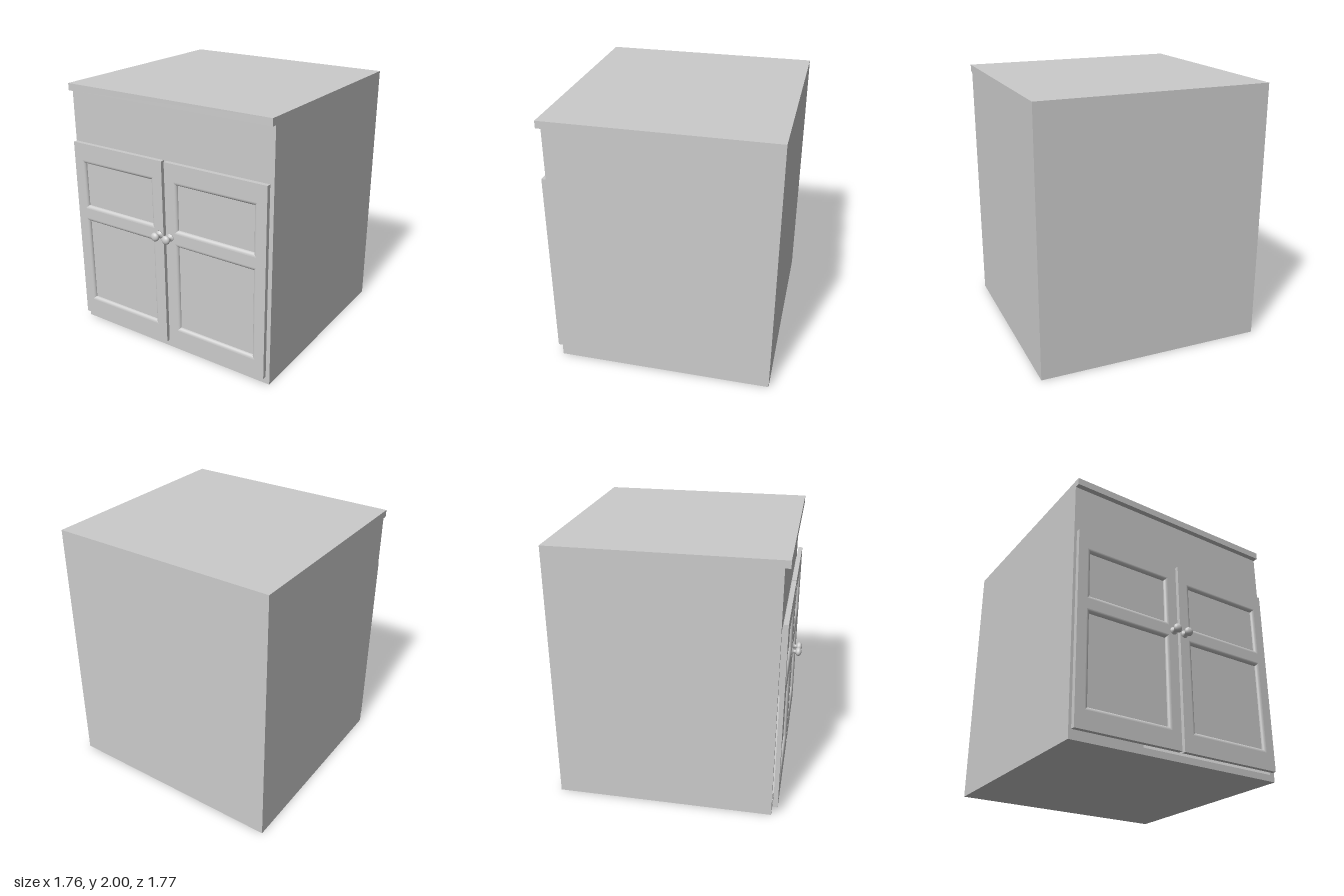
import * as THREE from 'three';
import { mergeGeometries } from 'three/addons/utils/BufferGeometryUtils.js';

const material = new THREE.MeshStandardMaterial({ color: 0xcccccc });

function add(parent, name, geometry, x = 0, y = 0, z = 0) {
  const mesh = new THREE.Mesh(geometry, material);
  mesh.name = name;
  mesh.position.set(x, y, z);
  parent.add(mesh);
  return mesh;
}

// Corners of a rectangle, counter-clockwise, shrunk by an inset
const corners = ({ l, r, b, t }, inset = 0) => [
  [l + inset, b + inset], [r - inset, b + inset],
  [r - inset, t - inset], [l + inset, t - inset],
];

// Rectangular plate with rectangular openings
function frame(outer, holes, depth) {
  const points = (rect) => corners(rect).map(([x, y]) => new THREE.Vector2(x, y));
  const shape = new THREE.Shape(points(outer));
  for (const hole of holes) shape.holes.push(new THREE.Path(points(hole).reverse()));
  return new THREE.ExtrudeGeometry(shape, { depth, bevelEnabled: false });
}

// Rounded moulding running round an opening, mitred at the corners
function moulding(rect, width, depth, steps = 6) {
  const rows = [];
  for (let k = 0; k <= steps; k++) {
    const a = (k / steps) * Math.PI / 2;
    rows.push({ pts: corners(rect, width * Math.sin(a)), z: -depth * (1 - Math.cos(a)) });
  }
  const sides = [0, 1, 2, 3].map((i) => {
    const position = [], index = [];
    rows.forEach(({ pts, z }, k) => {
      position.push(...pts[i], z, ...pts[(i + 1) % 4], z);
      const n = 2 * k;
      if (k < steps) index.push(n, n + 1, n + 3, n, n + 3, n + 2);
    });
    const side = new THREE.BufferGeometry();
    side.setAttribute('position', new THREE.Float32BufferAttribute(position, 3));
    side.setIndex(index);
    side.computeVertexNormals();
    return side;
  });
  return mergeGeometries(sides);
}

function knobGeometry() {
  const profile = [[0, 0], [0.03, 0], [0.029, 0.004], [0.02, 0.009], [0.014, 0.016], [0.013, 0.026]];
  // Flattened ball
  for (let i = 0; i <= 12; i++) {
    const a = -1.15 + (i / 12) * (Math.PI / 2 + 1.15);
    profile.push([0.034 * Math.cos(a), 0.052 + 0.024 * Math.sin(a)]);
  }
  const points = profile.map(([r, h]) => new THREE.Vector2(Math.max(r, 0), h));
  return new THREE.LatheGeometry(points, 24).rotateX(Math.PI / 2);
}

// side is -1 for the door at -x and +1 for the door at +x
function createDoor(side) {
  const door = new THREE.Group();
  const span = (near, far, b, t) =>
    side > 0 ? { l: near, r: far, b, t } : { l: -far, r: -near, b, t };
  const front = 0.81, thickness = 0.034, width = 0.026, depth = 0.022;
  const openings = [span(0.09, 0.785, 0.2, 0.935), span(0.09, 0.785, 1.015, 1.415)];

  add(door, 'doorFrame', frame(span(0.012, 0.86, 0.065, 1.55), openings, thickness), 0, 0, front - thickness);
  for (const rect of openings) {
    add(door, 'panelMoulding', moulding(rect, width, depth), 0, 0, front);
    const panelDepth = thickness - depth;
    add(door, 'doorPanel',
      new THREE.BoxGeometry(rect.r - rect.l - 2 * width, rect.t - rect.b - 2 * width, panelDepth),
      (rect.l + rect.r) / 2, (rect.b + rect.t) / 2, front - depth - panelDepth / 2);
  }
  add(door, 'doorKnob', knobGeometry(), side * 0.05, 0.975, front);
  return door;
}

export function createModel() {
  const model = new THREE.Group();
  model.name = 'cabinet';

  // Carcass with its front opening, closed at the back
  const outer = { l: -0.88, r: 0.88, b: 0, t: 1.945 };
  const opening = { l: -0.84, r: 0.84, b: 0.05, t: 1.49 };
  add(model, 'carcass', frame(outer, [opening], 1.605), 0, 0, -0.84);
  add(model, 'backPanel', new THREE.BoxGeometry(1.76, 1.945, 0.045), 0, 0.9725, -0.8625);

  // Worktop with a front lip
  add(model, 'worktop', new THREE.BoxGeometry(1.76, 0.055, 1.69), 0, 1.9725, -0.04);

  // Pair of doors, set very slightly off centre
  for (const side of [-1, 1]) {
    const door = createDoor(side);
    door.name = side > 0 ? 'leftDoor' : 'rightDoor';
    door.position.x = -0.005;
    model.add(door);
  }
  return model;
}
